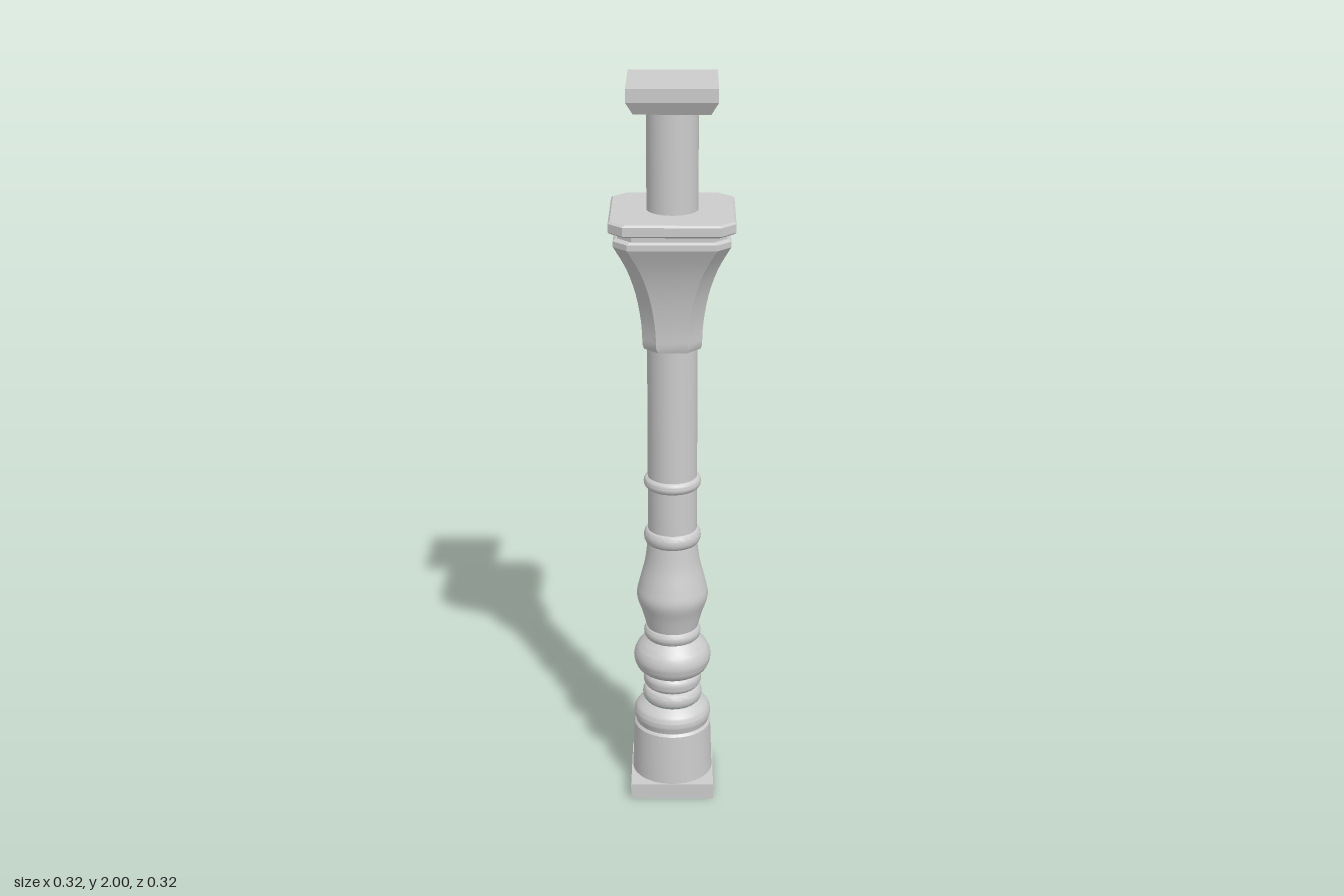
import * as THREE from 'three';
import { toCreasedNormals } from 'three/addons/utils/BufferGeometryUtils.js';

const material = new THREE.MeshStandardMaterial({ color: 0xcccccc });
const openMaterial = new THREE.MeshStandardMaterial({ color: 0xcccccc, side: THREE.DoubleSide });

// Corners of a square, or of a square with cut corners, at height y
function section(y, half, cut) {
  const corners = [];
  for (let i = 0; i < 4; i++) {
    const a = i * Math.PI / 2, c = Math.cos(a), s = Math.sin(a);
    const side = cut ? [[half, half - cut], [half - cut, half]] : [[half, half]];
    for (const [x, z] of side) corners.push([x * c - z * s, y, x * s + z * c]);
  }
  return corners;
}

// Skins a stack of [y, half width] sections and caps the ends
function loft(profile, cut, openBottom = false) {
  const rings = profile.map(([y, half]) => section(y, half, cut));
  const n = rings[0].length, points = [];
  const last = rings.length - 1;
  const bottom = [0, profile[0][0], 0], top = [0, profile[last][0], 0];
  for (let i = 0; i < n; i++) {
    const j = (i + 1) % n;
    for (let k = 0; k < last; k++) {
      const lo = rings[k], up = rings[k + 1];
      points.push(lo[i], up[i], lo[j], lo[j], up[i], up[j]);
    }
    points.push(top, rings[last][j], rings[last][i]);
    if (!openBottom) points.push(bottom, rings[0][i], rings[0][j]);
  }
  const geometry = new THREE.BufferGeometry();
  geometry.setAttribute('position', new THREE.Float32BufferAttribute(points.flat(), 3));
  return toCreasedNormals(geometry, 0.4);
}

function turned(profile) {
  const points = profile.map(([r, y]) => new THREE.Vector2(r, y));
  return toCreasedNormals(new THREE.LatheGeometry(points, 40), 0.6);
}

// Rounded ring moulding between two heights
function bead(y0, y1, inner, outer) {
  const points = [];
  for (let i = 0; i <= 8; i++) {
    const a = Math.PI * i / 8;
    points.push([inner + (outer - inner) * Math.sin(a), y0 + (y1 - y0) * (1 - Math.cos(a)) / 2]);
  }
  return points;
}

// Smooth profile through a few [radius, y] points
function curve(points, steps) {
  const spline = new THREE.SplineCurve(points.map(([r, y]) => new THREE.Vector2(r, y)));
  return spline.getPoints(steps).map((p) => [p.x, p.y]);
}

export function createModel() {
  const model = new THREE.Group();
  const add = (name, geometry, mat = material) => {
    const mesh = new THREE.Mesh(geometry, mat);
    mesh.name = name;
    model.add(mesh);
  };

  // Hollow square plinth
  add('plinth', loft([[0, 0.114], [0.045, 0.114]], 0, true), openMaterial);

  // Drum with a rounded shoulder
  add('drum', turned([
    [0.111, 0.04], [0.109, 0.1], [0.106, 0.19], [0.1, 0.197],
    ...curve([[0.102, 0.205], [0.106, 0.222], [0.1, 0.243], [0.078, 0.262]], 10),
  ]));

  // Turned lower part
  add('lowerRings', turned([...bead(0.26, 0.305, 0.068, 0.082), ...bead(0.307, 0.35, 0.068, 0.08)]));
  add('bulb', turned(curve([[0.07, 0.348], [0.095, 0.365], [0.106, 0.398], [0.096, 0.43], [0.07, 0.457]], 16)));
  add('collar', turned(bead(0.455, 0.492, 0.066, 0.078)));
  add('vase', turned(curve([[0.07, 0.49], [0.082, 0.535], [0.097, 0.583], [0.09, 0.625], [0.075, 0.685], [0.067, 0.745]], 20)));

  // Plain shaft and its two rings
  add('shaft', turned([[0.066, 0.72], [0.066, 1.95]]));
  for (const [y0, y1] of [[0.742, 0.785], [0.905, 0.938]]) {
    add('shaftRing', turned(bead(y0, y1, 0.064, 0.077)));
  }

  // Flared capital with cut corners
  const flare = curve([[0.077, 1.32], [0.08, 1.38], [0.093, 1.46], [0.116, 1.535], [0.148, 1.602]], 12);
  add('capital', loft([[1.307, 0.073], ...flare.map(([r, y]) => [y, r]), [1.617, 0.148], [1.622, 0.142]], 0.036));
  add('capitalNeck', loft([[1.615, 0.138], [1.645, 0.138]], 0.036));
  add('abacus', loft([[1.638, 0.155], [1.643, 0.16], [1.665, 0.16], [1.67, 0.155]], 0.037));

  // Square top block with a bevelled underside
  add('topBlock', loft([[1.933, 0.096], [1.966, 0.114], [2, 0.114]], 0));
  return model;
}
